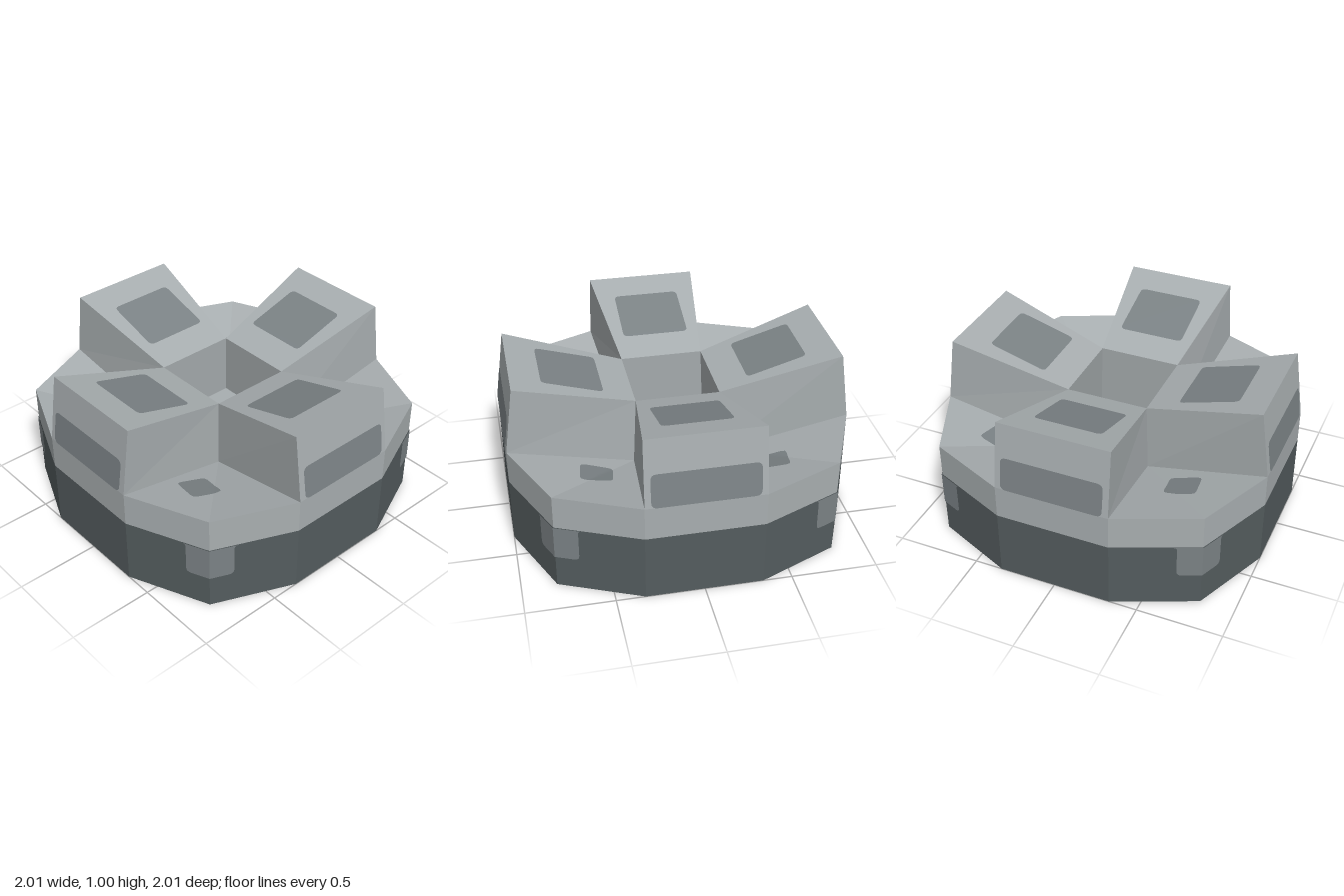
import * as THREE from 'three';

const material = (name, color, side = THREE.FrontSide) => {
  const m = new THREE.MeshStandardMaterial({ color, side });
  m.name = name;
  return m;
};

// Flat-shaded faces from lists of four corners
function quads(list) {
  const pos = [];
  for (const [a, b, c, d] of list) pos.push(...a, ...b, ...c, ...a, ...c, ...d);
  const geo = new THREE.BufferGeometry();
  geo.setAttribute('position', new THREE.Float32BufferAttribute(pos, 3));
  geo.computeVertexNormals();
  return geo;
}

// Lays a flat geometry onto a surface: rule(s, t) gives the 3D point
function lay(geo, rule) {
  const p = geo.attributes.position;
  for (let i = 0; i < p.count; i++) p.setXYZ(i, ...rule(p.getX(i), p.getY(i)));
  geo.computeVertexNormals();
  return geo;
}

function roundedRect(x0, y0, x1, y1, r) {
  const s = new THREE.Shape();
  s.moveTo(x0 + r, y0);
  s.lineTo(x1 - r, y0).quadraticCurveTo(x1, y0, x1, y0 + r);
  s.lineTo(x1, y1 - r).quadraticCurveTo(x1, y1, x1 - r, y1);
  s.lineTo(x0 + r, y1).quadraticCurveTo(x0, y1, x0, y1 - r);
  s.lineTo(x0, y0 + r).quadraticCurveTo(x0, y0, x0 + r, y0);
  return new THREE.ShapeGeometry(s, 4);
}

// Half of the tab that hangs over a base corner; side is +1 or -1
function tabHalf(side) {
  const s = new THREE.Shape();
  s.moveTo(0, 0.2);
  s.lineTo(side * 0.11, 0.2).quadraticCurveTo(side * 0.14, 0.2, side * 0.14, 0.23);
  s.lineTo(side * 0.14, 0.38).quadraticCurveTo(side * 0.14, 0.4, side * 0.16, 0.4);
  s.lineTo(0, 0.4);
  return lay(new THREE.ShapeGeometry(s, 4), (t, y) => {
    const d = Math.abs(t), near = 0.8 + d * 0.395, far = 0.8 - d * 0.919;
    return t >= 0 && side > 0 ? [near * 1.005, y, far * 1.005] : [far * 1.005, y, near * 1.005];
  });
}

export function createModel() {
  const light = material('light grey', 0xa8aeb0);
  const mid = material('panel grey', 0x7b8285, THREE.DoubleSide);
  const dark = material('dark grey', 0x545c5e);

  const model = new THREE.Group();
  model.name = 'pedestal';
  const add = (name, geo, mat, parent = model) => {
    const mesh = new THREE.Mesh(geo, mat);
    mesh.name = name;
    parent.add(mesh);
    return mesh;
  };

  // Twelve-sided outline, counter-clockwise from above
  const outline = [];
  for (let k = 0, q = [[0.335, 1], [0.8, 0.8], [1, 0.335]]; k < 4; k++) {
    outline.push(...q);
    q = q.map(([x, z]) => [z, -x]);
  }

  // Dark lower base
  const baseShape = new THREE.Shape(outline.map(([x, z]) => new THREE.Vector2(x, -z)));
  const base = new THREE.ExtrudeGeometry(baseShape, { depth: 0.4, bevelEnabled: false });
  add('lowerBase', base.rotateX(-Math.PI / 2), dark);

  // Light band around the top of the base
  add('upperBand', quads(outline.map(([x, z], i) => {
    const [u, w] = outline[(i + 1) % outline.length];
    return [[x, 0.4, z], [u, 0.4, w], [u, 0.6, w], [x, 0.6, z]];
  })), light);

  // Corner points of one raised block
  const L = [-0.335, 0.6, 1], R = [0.335, 0.6, 1];
  const TL = [-0.332, 1, 0.945], TR = [0.332, 1, 0.945];
  const IL = [-0.245, 0.795, 0.245], IR = [0.245, 0.795, 0.245];
  const JL = [-0.265, 0.4, 0.265], JR = [0.265, 0.4, 0.265];
  const blockGeo = quads([
    [L, R, TR, TL], [TL, TR, IR, IL], [R, JR, IR, TR], [JL, L, TL, IL], [JR, JL, IL, IR],
  ]);
  const deckGeo = quads([[JR, R, [0.8, 0.6, 0.8], [1, 0.6, 0.335]]]);
  const topPanel = lay(roundedRect(-0.2, -0.77, 0.2, -0.42, 0.03),
    (x, s) => [x, 0.8 + (-s - 0.245) * 0.2929, -s]);
  const endPanel = lay(roundedRect(-0.3, 0.602, 0.3, 0.8, 0.035),
    (x, y) => [x, y, 1.005 - (y - 0.6) * 0.1375]);
  const tabs = [tabHalf(1), tabHalf(-1)];

  // Four blocks, each with the sunken corner deck beside it
  for (let k = 0; k < 4; k++) {
    const quarter = new THREE.Group();
    quarter.name = 'quarter' + (k + 1);
    quarter.rotation.y = k * Math.PI / 2;
    model.add(quarter);
    add('raisedBlock', blockGeo, light, quarter);
    add('cornerDeck', deckGeo, light, quarter);
    add('topPanel', topPanel, mid, quarter);
    add('endPanel', endPanel, mid, quarter);
    tabs.forEach((t) => add('cornerTab', t, mid, quarter));
  }

  // Rounded square patches that follow the folded corner decks
  const deckHeight = (x, z) => {
    const hi = Math.max(Math.abs(x), Math.abs(z)), lo = Math.min(Math.abs(x), Math.abs(z));
    return 0.4 + 0.2614 * (hi - 0.265) + 0.1124 * (lo - 0.265);
  };
  const patches = [[0.487, 0.516, 8], [-0.588, 0.472, 10], [-0.56, -0.48, -7], [0.576, -0.48, 8]];
  for (const [cx, cz, deg] of patches) {
    const a = deg * Math.PI / 180;
    const geo = lay(new THREE.RingGeometry(0.001, 1, 40, 6), (u, v) => {
      const r = Math.hypot(u, v);
      const n = Math.pow(Math.abs(u) ** 9 + Math.abs(v) ** 9, 1 / 9);
      const p = u * r / n * 0.092, q = -v * r / n * 0.092;
      const x = cx + p * Math.cos(a) - q * Math.sin(a);
      const z = cz + p * Math.sin(a) + q * Math.cos(a);
      return [x, deckHeight(x, z) + 0.005, z];
    });
    add('deckPatch', geo, mid);
  }

  // Floor of the central well, with a cross and a dark centre
  const floor = new THREE.PlaneGeometry(0.53, 0.53).rotateX(-Math.PI / 2).translate(0, 0.404, 0);
  add('wellFloor', floor, light);
  const cross = new THREE.Shape();
  for (let k = 0; k < 4; k++) {
    const o = new THREE.Vector2();
    const [a, b, c, d, e] = [[0.265, -0.085], [0.265, 0.085], [0.125, 0.085], [0.085, 0.085], [0.085, 0.125]]
      .map(([x, y]) => new THREE.Vector2(x, y).rotateAround(o, k * Math.PI / 2));
    if (k === 0) cross.moveTo(a.x, a.y); else cross.lineTo(a.x, a.y);
    cross.lineTo(b.x, b.y).lineTo(c.x, c.y).quadraticCurveTo(d.x, d.y, e.x, e.y);
  }
  add('wellCross', lay(new THREE.ShapeGeometry(cross, 4), (x, s) => [x, 0.409, -s]), mid);
  add('wellCentre', lay(roundedRect(-0.09, -0.09, 0.09, 0.09, 0.035), (x, s) => [x, 0.414, -s]), dark);

  return model;
}
